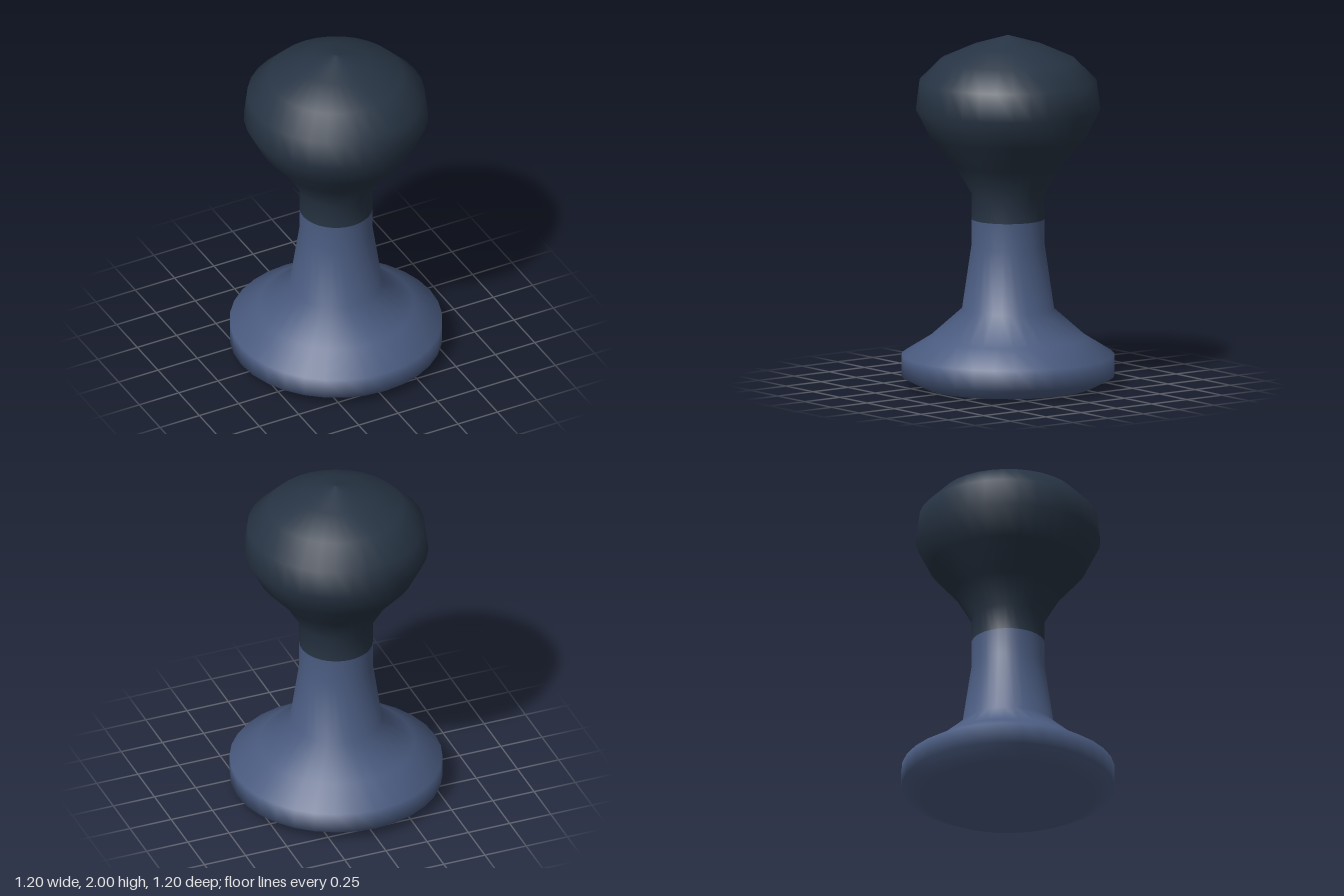
import * as THREE from 'three';

const SEGMENTS = 32;

const blue = new THREE.MeshStandardMaterial({ color: 0x4a5b80 });
blue.name = 'slate blue';
const dark = new THREE.MeshStandardMaterial({ color: 0x273444 });
dark.name = 'dark navy';

// Turned part from a [radius, height] profile, listed bottom to top
function turned(name, profile, material) {
  const points = profile.map(([r, y]) => new THREE.Vector2(r, y));
  const mesh = new THREE.Mesh(new THREE.LatheGeometry(points, SEGMENTS), material);
  mesh.name = name;
  return mesh;
}

export function createModel() {
  const model = new THREE.Group();
  model.name = 'turnedHandle';

  // Flared foot rising into the lower neck
  model.add(turned('baseAndStem', [
    [0, 0], [0.48, 0], [0.6, 0.06], [0.6, 0.18], [0.44, 0.28],
    [0.26, 0.44], [0.207, 0.8], [0.207, 0.953],
  ], blue));

  // Upper neck swelling into the domed knob
  model.add(turned('knob', [
    [0.207, 0.953], [0.207, 1.1], [0.3, 1.26], [0.44, 1.42], [0.52, 1.58],
    [0.5, 1.74], [0.38, 1.86], [0.2, 1.94], [0, 2],
  ], dark));

  return model;
}
